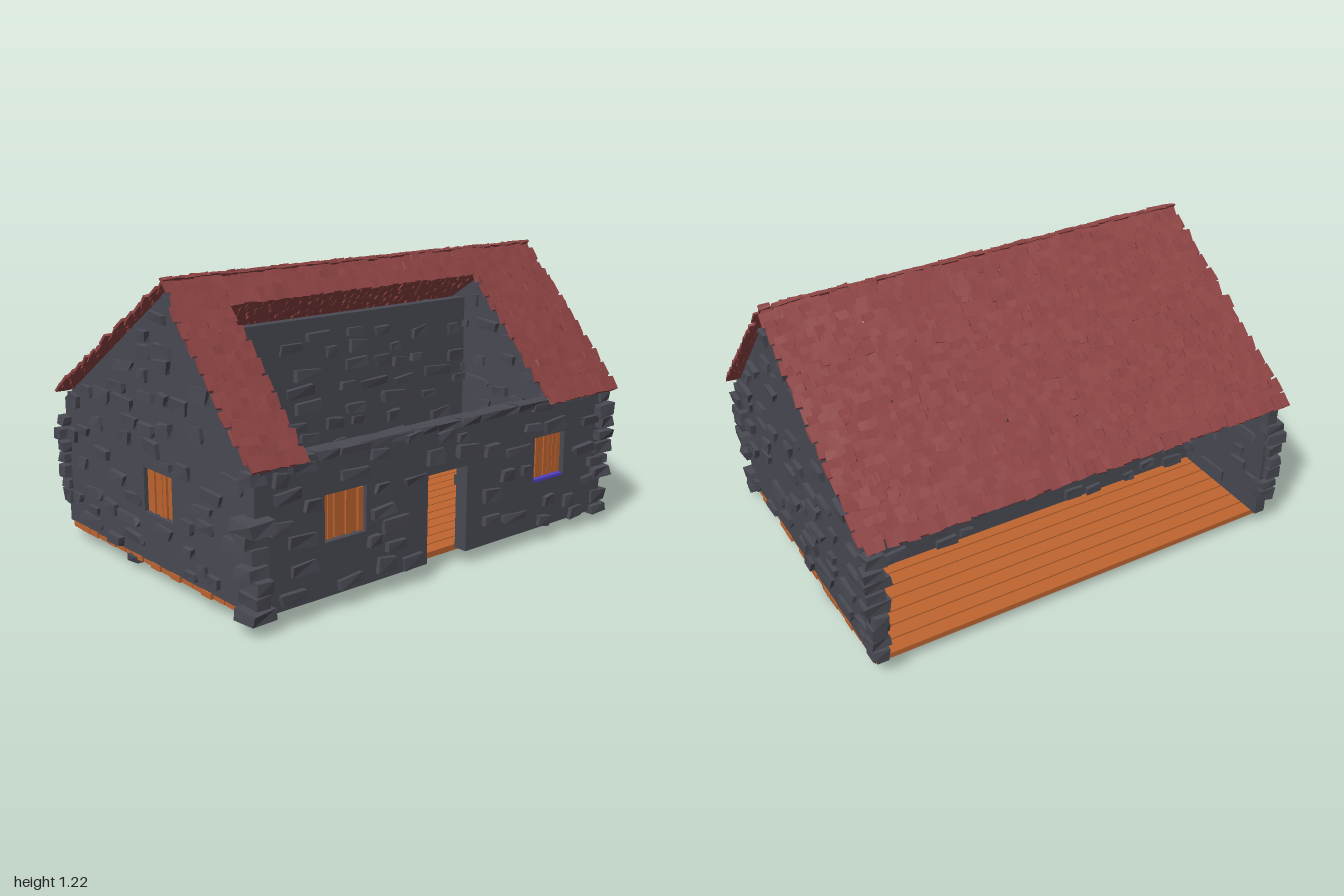
import * as THREE from 'three';
import { mergeGeometries } from 'three/addons/utils/BufferGeometryUtils.js';

const STONE = 0x4a4a54, WOOD = 0xbf6530, TILE = 0x8f4444, SILL = 0x5040c8;

export function createModel() {
  const house = new THREE.Group();
  house.name = 'house';

  let seed = 7;
  const rnd = (a = 0, b = 1) => {
    seed = (seed * 16807) % 2147483647;
    return a + (b - a) * (seed / 2147483647);
  };

  const mat = (color) => new THREE.MeshStandardMaterial({ color, flatShading: true });
  const mats = { stone: mat(STONE), wood: mat(WOOD), tile: mat(TILE), sill: mat(SILL) };

  const addMesh = (parent, name, geo, material) => {
    const mesh = new THREE.Mesh(geo, material);
    mesh.name = name;
    parent.add(mesh);
    return mesh;
  };

  // Box whose eight corners are pushed around a little
  const roughBox = (w, h, d, amount) => {
    const geo = new THREE.BoxGeometry(w, h, d);
    const p = geo.attributes.position;
    const offsets = Array.from({ length: 8 }, () => [0, 1, 2].map(() => rnd(-amount, amount)));
    for (let i = 0; i < p.count; i++) {
      const [x, y, z] = [p.getX(i), p.getY(i), p.getZ(i)];
      const o = offsets[(x > 0 ? 1 : 0) + (y > 0 ? 2 : 0) + (z > 0 ? 4 : 0)];
      p.setXYZ(i, x + o[0] * w, y + o[1] * h, z + o[2] * d);
    }
    geo.computeVertexNormals();
    return geo;
  };

  const insidePolygon = (pts, x, y) => {
    let inside = false;
    pts.forEach(([ax, ay], i) => {
      const [bx, by] = pts[(i + 1) % pts.length];
      if ((ay > y) !== (by > y) && x < ((bx - ax) * (y - ay)) / (by - ay) + ax) inside = !inside;
    });
    return inside;
  };

  // Stone wall in its own XY plane, with openings [x0, y0, x1, y1] and stones on both faces
  const wall = (name, outline, openings, thick, count) => {
    const group = new THREE.Group();
    group.name = name;
    const shape = new THREE.Shape(outline.map(([x, y]) => new THREE.Vector2(x, y)));
    for (const [x0, y0, x1, y1] of openings) {
      shape.holes.push(new THREE.Path([[x0, y0], [x0, y1], [x1, y1], [x1, y0]]
        .map(([x, y]) => new THREE.Vector2(x, y))));
    }
    const slab = new THREE.ExtrudeGeometry(shape, { depth: thick, bevelEnabled: false });
    slab.translate(0, 0, -thick / 2);
    addMesh(group, name + 'Slab', slab, mats.stone);

    const stones = [];
    for (const side of [-1, 1]) {
      const placed = openings.map((o) => [...o]);
      let left = count;
      for (let tries = 0; left > 0 && tries < 900; tries++) {
        const w = rnd(0.05, 0.14), h = rnd(0.03, 0.055);
        const x = rnd(-0.9, 0.9), y = rnd(0.08, 1.12);
        const r = [x - w / 2, y - h / 2, x + w / 2, y + h / 2];
        const fits = [[r[0], r[1]], [r[2], r[1]], [r[2], r[3]], [r[0], r[3]]]
          .every(([a, b]) => insidePolygon(outline, a, b));
        const hit = placed.some((q) => r[0] < q[2] + 0.015 && r[2] > q[0] - 0.015
          && r[1] < q[3] + 0.012 && r[3] > q[1] - 0.012);
        if (!fits || hit) continue;
        placed.push(r);
        left--;
        const geo = roughBox(w, h, 0.04, 0.1);
        geo.rotateZ(rnd(-0.12, 0.12));
        geo.translate(x, y, side * (thick / 2 + rnd(-0.005, 0.004)));
        stones.push(geo);
      }
    }
    addMesh(group, name + 'Stones', mergeGeometries(stones), mats.stone);
    house.add(group);
    return group;
  };

  // Vertical slats filling a window opening
  const slats = (parent, name, [x0, y0, x1, y1]) => {
    const n = 7, pitch = (x1 - x0) / n, parts = [];
    for (let i = 0; i < n; i++) {
      const geo = roughBox(pitch * 0.86, y1 - y0, 0.02, 0.02);
      geo.translate(x0 + (i + 0.5) * pitch, (y0 + y1) / 2 + rnd(-0.008, 0.008), rnd(-0.004, 0.004));
      parts.push(geo);
    }
    addMesh(parent, name, mergeGeometries(parts), mats.wood);
  };

  // Front wall with a doorway and two windows
  const frontWindows = [[-0.63, 0.27, -0.43, 0.45], [0.5, 0.27, 0.69, 0.46]];
  const front = wall('frontWall', [[-0.94, 0.06], [-0.115, 0.06], [-0.115, 0.42], [0.1, 0.42],
    [0.1, 0.06], [0.94, 0.06], [0.94, 0.61], [-0.94, 0.61]], frontWindows, 0.06, 42);
  front.position.z = 0.635;
  frontWindows.forEach((w, i) => slats(front, i ? 'leftWindow' : 'rightWindow', w));
  const sill = addMesh(front, 'windowSill', new THREE.BoxGeometry(0.18, 0.012, 0.065), mats.sill);
  sill.position.set(0.59, 0.272, 0);

  // Gable walls; the right one has a window
  const gable = [[-0.68, 0.07], [0.66, 0.07], [0.66, 0.62], [0.17, 1.17], [-0.68, 0.61]];
  const sideWindow = [-0.06, 0.27, 0.14, 0.45];
  for (const s of [-1, 1]) {
    const openings = s < 0 ? [sideWindow] : [];
    const g = wall(s < 0 ? 'rightGable' : 'leftGable', gable, openings, 0.05, 50);
    g.rotation.y = -Math.PI / 2;
    g.position.x = s * 0.915;
    if (s < 0) slats(g, 'sideWindow', sideWindow);
  }

  // Inner wall that closes the room; the bay behind it is open at the back
  const inner = wall('innerWall', [[-0.91, 0.035], [0.91, 0.035], [0.91, 0.92], [-0.91, 0.92]],
    [], 0.05, 70);
  inner.position.z = -0.16;

  // Footing stones poking out below the inner and front walls
  const footing = [];
  for (let x = -0.88; x < 0.9; x += 0.11) {
    const geo = roughBox(rnd(0.08, 0.14), 0.03, rnd(0.06, 0.1), 0.1);
    geo.translate(x, rnd(0.04, 0.05), -0.16 + rnd(-0.015, 0.015));
    footing.push(geo);
  }
  for (const [x, z] of [[-0.4, -0.17], [0.87, -0.16]]) {
    const geo = roughBox(0.11, 0.04, 0.1, 0.05);
    geo.translate(x, 0.022, z);
    footing.push(geo);
  }
  addMesh(house, 'footingStones', mergeGeometries(footing), mats.stone);

  // Corner stones and the ragged top course of the front wall
  const quoins = [];
  for (const sx of [-1, 1]) {
    for (const z of [0.645, -0.675]) {
      for (let y = 0.07; y < 0.61; y += 0.056) {
        if (rnd() < 0.2) continue;
        const geo = roughBox(rnd(0.06, 0.11), rnd(0.035, 0.055), z > 0 ? rnd(0.06, 0.12) : 0.06, 0.08);
        geo.rotateY(rnd(-0.08, 0.08));
        geo.translate(sx * (0.93 + rnd(-0.01, 0.012)), y, z + rnd(-0.01, 0.015));
        quoins.push(geo);
      }
    }
  }
  for (let x = -0.85; x < 0.9; x += 0.12) {
    const geo = roughBox(rnd(0.1, 0.16), 0.03, rnd(0.06, 0.09), 0.1);
    geo.translate(x, 0.602, 0.635 + rnd(-0.01, 0.01));
    quoins.push(geo);
  }
  addMesh(house, 'cornerStones', mergeGeometries(quoins), mats.stone);

  // Floor planks running across the house
  const planks = [];
  for (let i = 0; i < 18; i++) {
    const geo = new THREE.BoxGeometry(1.88, 0.024, 0.064);
    geo.translate(rnd(-0.006, 0.006), 0.06, 0.57 - i * 0.07);
    planks.push(geo);
  }
  addMesh(house, 'floorPlanks', mergeGeometries(planks), mats.wood);

  // Overlapping shingles down a slope from a to b, each [z, y]; x range given
  const shingles = (name, a, b, x0, x1) => {
    const parts = [], pitch = 0.036;
    const length = Math.hypot(b[0] - a[0], b[1] - a[1]);
    const dz = (b[0] - a[0]) / length, dy = (b[1] - a[1]) / length, s = Math.sign(dz);
    const rows = Math.round(length / pitch), cols = Math.round((x1 - x0) / 0.04);
    const basis = new THREE.Matrix4().makeBasis(new THREE.Vector3(s, 0, 0),
      new THREE.Vector3(0, s * dz, -s * dy), new THREE.Vector3(0, dy, dz));
    for (let r = 0; r < rows; r++) {
      for (let c = 0; c < cols; c++) {
        const x = x0 + ((c + 0.5 + (r % 2 ? 0.2 : -0.2)) / cols) * (x1 - x0);
        const t = ((r + 0.4) / rows) * length;
        const geo = roughBox(0.044 * rnd(0.9, 1.15), 0.011, 0.06, 0.06);
        geo.rotateX(0.16 + rnd(-0.06, 0.1));
        geo.rotateY(rnd(-0.12, 0.12));
        geo.rotateZ(rnd(-0.08, 0.08));
        geo.applyMatrix4(basis);
        geo.translate(x + rnd(-0.005, 0.005), a[1] + dy * t, a[0] + dz * (t + rnd(-0.008, 0.008)));
        parts.push(geo);
      }
    }
    addMesh(house, name, mergeGeometries(parts), mats.tile);
  };

  // Full back slope; front slope cut away over the room
  const ridge = [0.17, 1.195], cut = [0.255, 1.102], frontEave = [0.705, 0.615];
  shingles('backRoof', ridge, [-0.71, 0.645], -0.96, 0.97);
  shingles('ridgeStrip', ridge, cut, -0.96, 0.97);
  shingles('frontRoofRight', cut, frontEave, -0.98, -0.75);
  shingles('frontRoofLeft', cut, frontEave, 0.545, 0.975);

  return house;
}
